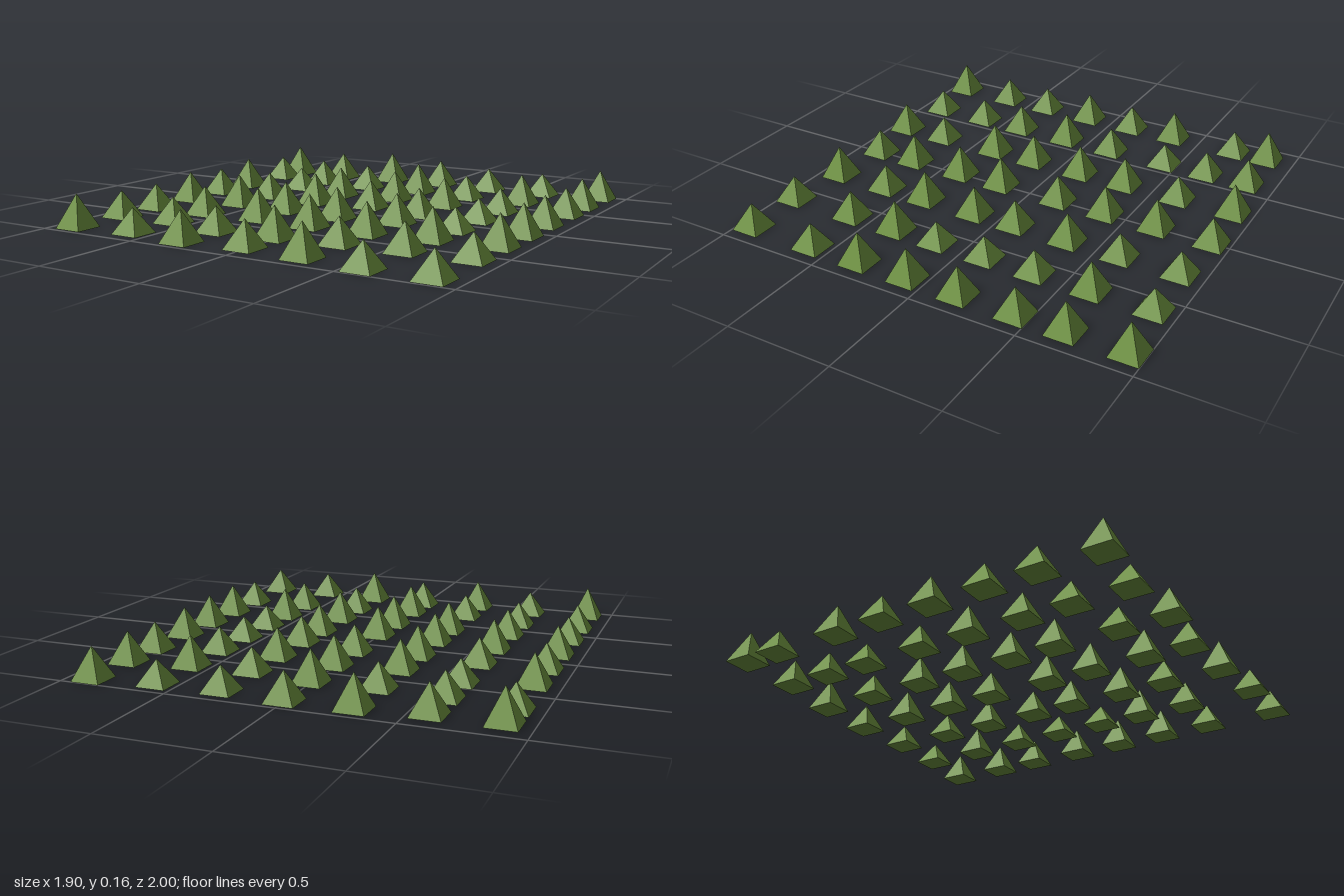
import * as THREE from 'three';

const HALF = 0.0675;          // half the width of a spike's square base
const COLUMN_STEP = 0.294;

// One column per entry, from left to right; spikes run from back to front.
const columns = [
  { z: [-0.865, -0.69, -0.36, -0.12, 0.13, 0.39, 0.63, 0.915],
    h: [0.155, 0.118, 0.148, 0.127, 0.143, 0.122, 0.126, 0.155] },
  { z: [-0.865, -0.655, -0.435, -0.14, 0.115, 0.385, 0.615, 0.88],
    h: [0.138, 0.124, 0.112, 0.127, 0.15, 0.135, 0.12, 0.116] },
  { z: [-0.905, -0.63, -0.355, -0.115, 0.145, 0.37, 0.68, 0.915],
    h: [0.154, 0.122, 0.147, 0.15, 0.146, 0.15, 0.12, 0.143] },
  { z: [-0.915, -0.65, -0.395, -0.15, 0.16, 0.39, 0.66, 0.87],
    h: [0.133, 0.151, 0.147, 0.135, 0.15, 0.153, 0.148, 0.127] },
  { z: [-0.89, -0.61, -0.355, -0.09, 0.125, 0.395, 0.62, 0.895],
    h: [0.116, 0.119, 0.143, 0.134, 0.143, 0.15, 0.125, 0.154] },
  { z: [-0.9, -0.62, -0.355, -0.11, 0.135, 0.355, 0.6, 0.93],
    h: [0.112, 0.146, 0.119, 0.11, 0.11, 0.15, 0.132, 0.12] },
  { z: [-0.933, -0.66, -0.435, -0.165, 0.085, 0.335, 0.59, 0.925],
    h: [0.148, 0.146, 0.135, 0.143, 0.15, 0.15, 0.119, 0.123] },
];

export function createModel() {
  const model = new THREE.Group();
  model.name = 'grassField';

  const grassGreen = new THREE.MeshStandardMaterial({ color: 0x6f9440, flatShading: true });
  grassGreen.name = 'grassGreen';

  // Closed four-sided pyramid of unit height, its base square to the axes
  const pyramid = new THREE.ConeGeometry(HALF * Math.SQRT2, 1, 4, 1);
  pyramid.rotateY(Math.PI / 4);
  pyramid.translate(0, 0.5, 0);

  // Rows of grass spikes
  columns.forEach(({ z, h }, c) => {
    const column = new THREE.Group();
    column.name = `grassColumn${c + 1}`;
    column.position.x = (c - (columns.length - 1) / 2) * COLUMN_STEP;
    z.forEach((depth, r) => {
      const spike = new THREE.Mesh(pyramid, grassGreen);
      spike.name = `grassSpike${r + 1}`;
      spike.position.z = depth;
      spike.scale.y = h[r];
      column.add(spike);
    });
    model.add(column);
  });

  return model;
}
